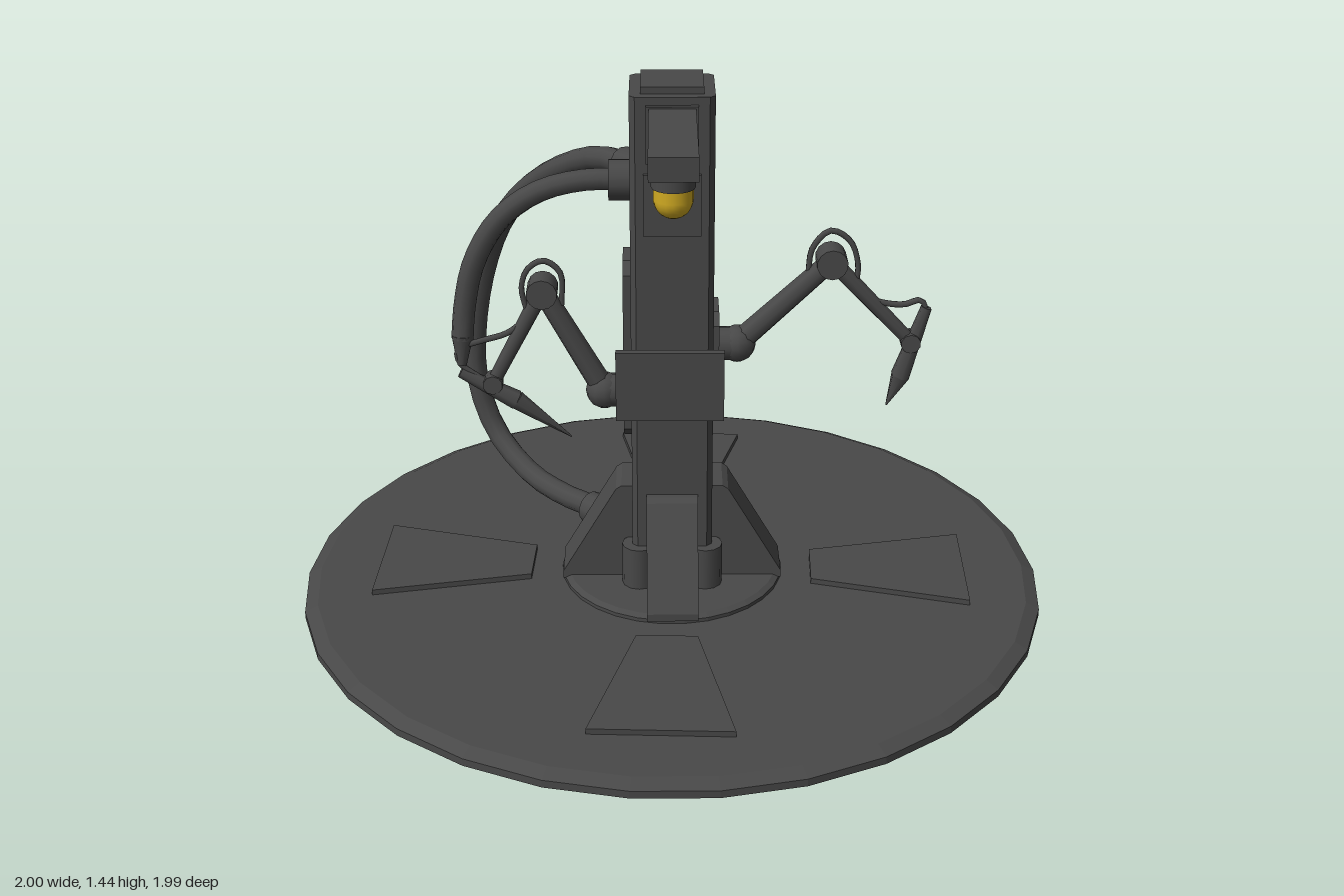
import * as THREE from 'three';

const grey = new THREE.MeshStandardMaterial({ color: 0x484848 });
grey.name = 'dark grey metal';
const yellow = new THREE.MeshStandardMaterial({ color: 0xd0aa22 });
yellow.name = 'yellow lamp';

const V = (x, y, z) => new THREE.Vector3(x, y, z);

function createModel() {
  const model = new THREE.Group();
  model.name = 'armStation';

  const add = (name, geo, x = 0, y = 0, z = 0, parent = model, mat = grey) => {
    const m = new THREE.Mesh(geo, mat);
    m.name = name;
    m.position.set(x, y, z);
    parent.add(m);
    return m;
  };
  // box given by its min and max corners
  const box = (name, a, b, parent = model) => add(name,
    new THREE.BoxGeometry(b[0] - a[0], b[1] - a[1], b[2] - a[2]),
    (a[0] + b[0]) / 2, (a[1] + b[1]) / 2, (a[2] + b[2]) / 2, parent);
  // cylinder or cone running from a to b
  const rod = (name, a, b, r0, r1 = r0, parent = model, sides = 12) => {
    const d = b.clone().sub(a);
    const mid = a.clone().add(b).multiplyScalar(0.5);
    const m = add(name, new THREE.CylinderGeometry(r1, r0, d.length(), sides), mid.x, mid.y, mid.z, parent);
    m.quaternion.setFromUnitVectors(V(0, 1, 0), d.normalize());
    return m;
  };
  const tube = (name, pts, r, parent = model, steps = 28, sides = 10) =>
    add(name, new THREE.TubeGeometry(new THREE.CatmullRomCurve3(pts.map(p => V(...p))), steps, r, sides), 0, 0, 0, parent);
  // flat polygon extruded along z, centred on z = 0
  const slab = (pts, depth) => new THREE.ExtrudeGeometry(
    new THREE.Shape(pts.map(p => new THREE.Vector2(...p))), { depth, bevelEnabled: false }).translate(0, 0, -depth / 2);
  // rectangle with cut corners
  const cutRect = (w, h, c) => [[w - c, -h], [w, c - h], [w, h - c], [w - c, h], [c - w, h], [-w, h - c], [-w, c - h], [c - w, -h]];

  // round platform with chamfered rim
  const disc = (name, profile, sides) => {
    const g = new THREE.LatheGeometry(profile.map(p => new THREE.Vector2(...p)), sides).toNonIndexed();
    g.computeVertexNormals();
    g.rotateY(Math.PI / 2);
    return add(name, g);
  };
  disc('platform', [[0, 0.004], [0.98, 0.004], [1, 0.014], [1, 0.034], [0.965, 0.05], [0, 0.05]], 30);
  disc('mastRing', [[0.3, 0.045], [0.3, 0.06], [0.285, 0.068], [0, 0.068]], 30);

  // four raised fan-shaped pads
  const pads = new THREE.Group();
  pads.name = 'floorPads';
  pads.rotation.y = -0.04;
  model.add(pads);
  for (let i = 0; i < 4; i++) {
    const g = slab([[-0.08, 0.38], [0.08, 0.38], [0.18, 0.8], [-0.18, 0.8]], 0.02);
    g.rotateX(Math.PI / 2);
    add('floorPad', g, 0, 0.055, 0, pads).rotation.y = i * Math.PI / 2;
  }

  // square mast with cut corners, and its cap
  const mast = new THREE.Group();
  mast.name = 'mast';
  mast.position.z = 0.02;
  model.add(mast);
  add('mastColumn', slab(cutRect(0.106, 0.106, 0.014), 1.36).rotateX(-Math.PI / 2), 0, 0.745, 0, mast);
  box('mastCap', [-0.078, 1.42, -0.078], [0.078, 1.443, 0.078], mast);

  // corner posts and sloped gussets at the foot
  for (const sx of [-1, 1]) for (const sz of [-1, 1])
    add('cornerPost', new THREE.CylinderGeometry(0.046, 0.046, 0.13, 12), sx * 0.088, 0.12, sz * 0.088, mast);
  for (let i = 0; i < 4; i++) {
    const g = slab([[0.05, 0.06], [0.295, 0.06], [0.295, 0.08], [0.15, 0.33], [0.135, 0.34], [0.05, 0.34]], 0.135);
    add('gusset', g, 0, 0, 0.008).rotation.y = i * Math.PI / 2;
  }

  // lamp boom, brace and plates
  box('boomPlate', [-0.065, 1.26, 0.12], [0.065, 1.405, 0.142]);
  box('bracePlate', [-0.072, 1.07, 0.12], [0.072, 1.23, 0.137]);
  box('boom', [-0.058, 1.34, 0.12], [0.058, 1.4, 0.515]);
  add('brace', slab([[-0.125, 1.14], [-0.29, 1.345], [-0.235, 1.345], [-0.125, 1.215]], 0.06).rotateY(Math.PI / 2));
  add('lampCollar', new THREE.CylinderGeometry(0.052, 0.052, 0.035, 16), 0, 1.327, 0.453);
  rod('lampNeck', V(0, 1.28, 0.453), V(0, 1.311, 0.453), 0.047, 0.047, model, 16).material = yellow;
  add('lampBulb', new THREE.SphereGeometry(0.047, 16, 8, 0, Math.PI * 2, Math.PI / 2, Math.PI / 2),
    0, 1.281, 0.453, model, yellow);

  // front control panel
  box('panelMount', [-0.075, 0.6, 0.11], [0.075, 0.72, 0.146]);
  box('controlPanel', [-0.145, 0.575, 0.143], [0.133, 0.765, 0.165]);

  // side mounting plates
  const plate = (name, x, y, h) =>
    add(name, slab(cutRect(0.078, h, 0.03), 0.022).rotateY(Math.PI / 2), x, y, 0.02);
  plate('leftArmPlate', 0.11, 0.735, 0.105);
  plate('rightArmPlate', -0.115, 0.735, 0.245);

  // jointed tool arms
  const arm = (name, p) => {
    const g = new THREE.Group();
    g.name = name;
    g.position.z = 0.02;
    model.add(g);
    const at = q => V(q[0], q[1], 0);
    const [s, e, w] = [p.shoulder, p.elbow, p.wrist].map(at);
    rod('shoulderStub', V(Math.sign(s.x) * 0.1, s.y, 0), s, 0.045, 0.045, g);
    add('shoulderBall', new THREE.SphereGeometry(0.049, 12, 8), s.x, s.y, 0, g);
    rod('upperArm', s, e, 0.032, 0.027, g, 8);
    rod('elbowJoint', V(e.x, e.y, -0.036), V(e.x, e.y, 0.036), 0.04, 0.04, g, 14);
    rod('forearm', e, w, 0.022, 0.018, g, 8);
    rod('wristJoint', V(w.x, w.y, -0.024), V(w.x, w.y, 0.024), 0.026, 0.026, g, 10);
    const [t0, t1, t2] = p.tool.map(at);
    rod('toolBody', t0, t1, 0.015, 0.026, g, 6);
    rod('toolTip', t1, t2, 0.025, 0.002, g, 6);
    tube('elbowCable', p.loop, 0.008, g, 18, 6);
    tube('wristCable', p.cable, 0.008, g, 18, 6);
  };
  arm('leftArm', {
    shoulder: [0.17, 0.73], elbow: [0.41, 0.96], wrist: [0.622, 0.735],
    tool: [[0.66, 0.83], [0.6, 0.635], [0.567, 0.55]],
    loop: [[0.35, 0.92, 0], [0.36, 0.995, 0], [0.405, 1.042, 0], [0.455, 1.015, 0], [0.478, 0.95, 0], [0.475, 0.9, 0]],
    cable: [[0.49, 0.87, 0], [0.53, 0.848, 0], [0.6, 0.838, 0], [0.645, 0.85, 0], [0.66, 0.81, 0], [0.635, 0.74, 0]],
  });
  arm('rightArm', {
    shoulder: [-0.178, 0.597], elbow: [-0.335, 0.88], wrist: [-0.47, 0.62],
    tool: [[-0.555, 0.65], [-0.41, 0.568], [-0.267, 0.46]],
    loop: [[-0.375, 0.82, 0], [-0.388, 0.89, 0], [-0.37, 0.94, 0], [-0.33, 0.962, 0], [-0.288, 0.93, 0], [-0.285, 0.84, 0]],
    cable: [[-0.39, 0.79, 0], [-0.43, 0.76, 0], [-0.51, 0.735, 0], [-0.56, 0.715, 0], [-0.555, 0.675, 0], [-0.5, 0.63, 0]],
  });

  // thick hoses with collars at the mast and sockets at the floor
  tube('backHose', [[0, 1.18, -0.08], [-0.01, 1.183, -0.25], [-0.01, 1.155, -0.44], [-0.01, 1.06, -0.59],
    [-0.01, 0.88, -0.73], [-0.01, 0.68, -0.815], [-0.01, 0.5, -0.833], [-0.01, 0.33, -0.8],
    [-0.01, 0.18, -0.7], [-0.01, 0.105, -0.55], [-0.01, 0.1, -0.42], [-0.01, 0.125, -0.25]], 0.036);
  tube('diagonalHose', [[-0.08, 1.18, -0.07], [-0.2, 1.16, -0.22], [-0.35, 1.06, -0.36], [-0.46, 0.92, -0.46],
    [-0.53, 0.74, -0.54], [-0.57, 0.53, -0.575], [-0.572, 0.36, -0.575], [-0.52, 0.2, -0.55],
    [-0.42, 0.115, -0.45], [-0.32, 0.105, -0.33], [-0.2, 0.12, -0.2]], 0.032);
  tube('sideHose', [[-0.1, 1.18, 0.02], [-0.22, 1.178, 0.015], [-0.34, 1.145, 0.01], [-0.44, 1.07, 0.005],
    [-0.51, 0.95, 0], [-0.54, 0.82, 0], [-0.547, 0.74, 0.01]], 0.029, model, 18);
  rod('sideHoseEnd', V(-0.547, 0.75, 0.01), V(-0.55, 0.67, 0.02), 0.029, 0.012);
  rod('backHoseCollar', V(0, 1.18, -0.08), V(0, 1.18, -0.135), 0.056);
  rod('diagonalHoseCollar', V(-0.07, 1.18, -0.06), V(-0.125, 1.175, -0.125), 0.045);
  rod('sideHoseCollar', V(-0.1, 1.18, 0.02), V(-0.16, 1.18, 0.02), 0.053);
  rod('backHoseSocket', V(-0.01, 0.12, -0.2), V(-0.01, 0.112, -0.3), 0.05);
  rod('diagonalHoseSocket', V(-0.13, 0.115, -0.13), V(-0.23, 0.112, -0.23), 0.047);

  return model;
}

export { createModel };
